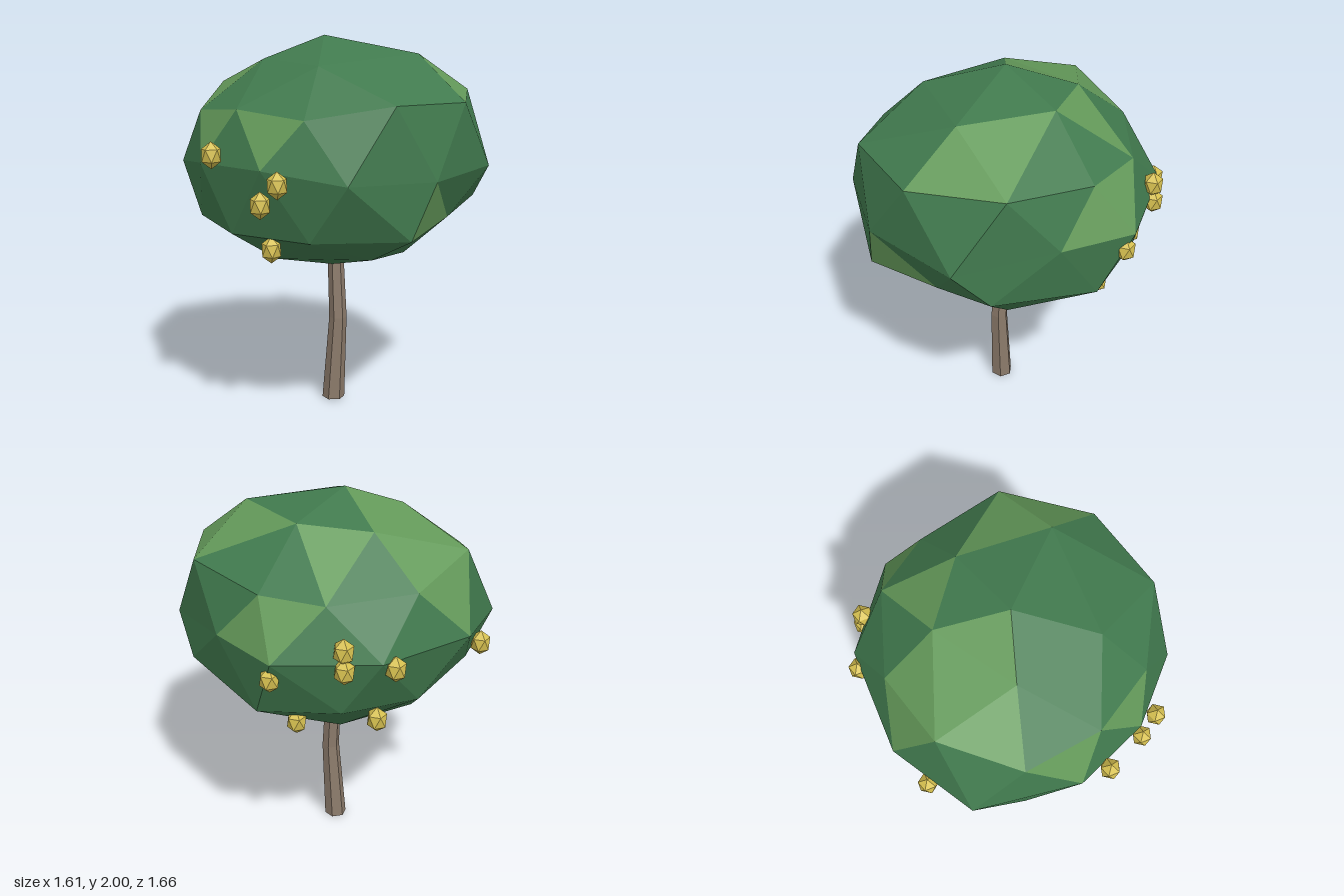
import * as THREE from 'three';

const mat = (name, color, flat = true) => {
  const m = new THREE.MeshStandardMaterial({ color, flatShading: flat });
  m.name = name;
  return m;
};

// Canopy rings from top to bottom, each running from +x towards +z
const RINGS = {
  P: [[-0.03, 2.0, 0.01]],
  A: [[0.47, 1.91, -0.07], [0.14, 1.86, 0.4], [-0.285, 1.88, 0.2], [-0.26, 1.88, -0.27], [0.095, 1.92, -0.37]],
  B: [[0.76, 1.68, 0.015], [0.58, 1.69, 0.456], [0.19, 1.62, 0.64], [-0.2, 1.655, 0.61], [-0.547, 1.62, 0.41],
    [-0.67, 1.74, 0], [-0.515, 1.65, -0.395], [-0.145, 1.65, -0.667], [0.19, 1.66, -0.655], [0.603, 1.71, -0.452]],
  C: [[0.726, 1.32, 0.29], [0.435, 1.33, 0.67], [0.01, 1.385, 0.745], [-0.395, 1.385, 0.645], [-0.778, 1.32, 0.255],
    [-0.743, 1.38, -0.228], [-0.423, 1.4, -0.68], [0.077, 1.395, -0.83], [0.423, 1.41, -0.632], [0.796, 1.33, -0.272]],
  D: [[0.65, 1.08, -0.06], [0.637, 1.035, 0.387], [0.22, 1.035, 0.645], [-0.22, 1.04, 0.64], [-0.548, 1.065, 0.42],
    [-0.69, 1.15, 0], [-0.53, 1.08, -0.39], [-0.22, 1.1, -0.67], [0.2, 1.065, -0.71], [0.667, 1.14, -0.407]],
  E: [[0.36, 0.88, 0.24], [-0.13, 0.86, 0.36], [-0.41, 0.81, 0], [-0.13, 0.86, -0.39], [0.325, 0.81, -0.26]],
  Q: [[0.04, 0.78, 0.05]],
};

// Facets painted in the lighter green
const LIGHT = new Set(['A2 A3 P0', 'A2 A3 B5', 'A3 B5 B6', 'A3 A4 B7', 'A0 A4 B9', 'A0 B0 B9', 'A2 B4 B5',
  'B5 B6 C5', 'B3 B4 C3', 'B2 B3 C2', 'B7 B8 C7', 'B8 C7 C8', 'C0 D0 D1', 'D0 D9 E4']);

function canopyFaces() {
  const faces = [];
  const add = (...f) => faces.push(f);
  for (let k = 0; k < 5; k++) {
    const n = (k + 1) % 5, e = 2 * k, o = e + 1, e2 = (e + 2) % 10, o2 = (e + 3) % 10;
    const before = (e + 9) % 10;
    // top cap
    add('P0', 'A' + k, 'A' + n);
    add('A' + k, 'B' + before, 'B' + e);
    add('A' + k, 'B' + e, 'B' + o);
    add('A' + k, 'B' + o, 'A' + n);
    // bottom cap
    add('Q0', 'E' + k, 'E' + n);
    add('E' + k, 'D' + e, 'D' + o);
    add('E' + k, 'D' + o, 'D' + e2);
    add('E' + k, 'D' + e2, 'E' + n);
  }
  // two bands around the middle
  for (let j = 0; j < 10; j++) {
    const n = (j + 1) % 10, p = (j + 9) % 10;
    add('B' + j, 'B' + n, 'C' + j);
    add('B' + j, 'C' + p, 'C' + j);
    add('D' + j, 'C' + p, 'C' + j);
    add('D' + j, 'D' + n, 'C' + j);
  }
  return faces;
}

function createCanopy(darkMat, lightMat) {
  const center = new THREE.Vector3(0, 1.39, 0);
  const point = (id) => new THREE.Vector3(...RINGS[id[0]][Number(id[1])]);
  const dark = [], light = [];
  for (const f of canopyFaces()) {
    let [a, b, c] = f.map(point);
    const normal = b.clone().sub(a).cross(c.clone().sub(a));
    // keep every facet turned outwards
    if (normal.dot(a.clone().add(b).add(c).divideScalar(3).sub(center)) < 0) [b, c] = [c, b];
    const list = LIGHT.has([...f].sort().join(' ')) ? light : dark;
    for (const v of [a, b, c]) list.push(v.x, v.y, v.z);
  }
  const geo = new THREE.BufferGeometry();
  geo.setAttribute('position', new THREE.Float32BufferAttribute([...dark, ...light], 3));
  geo.addGroup(0, dark.length / 3, 0);
  geo.addGroup(dark.length / 3, light.length / 3, 1);
  geo.computeVertexNormals();
  const mesh = new THREE.Mesh(geo, [darkMat, lightMat]);
  mesh.name = 'canopy';
  return mesh;
}

// Slightly bent six-sided trunk: height, centre x, centre z, radius
function createTrunk(material) {
  const sections = [[0, 0.022, 0.003, 0.061], [0.47, 0.048, 0, 0.048], [0.95, 0.02, -0.015, 0.042]];
  const geo = new THREE.CylinderGeometry(1, 1, 2, 6, 2);
  const pos = geo.attributes.position;
  for (let i = 0; i < pos.count; i++) {
    const [y, cx, cz, r] = sections[Math.round(pos.getY(i) + 1)];
    pos.setXYZ(i, cx + pos.getX(i) * r, y, cz + pos.getZ(i) * r);
  }
  geo.computeVertexNormals();
  const mesh = new THREE.Mesh(geo, material);
  mesh.name = 'trunk';
  return mesh;
}

// Small faceted fruits, a little taller than wide
function createFruits(material) {
  const group = new THREE.Group();
  group.name = 'fruits';
  const geo = new THREE.IcosahedronGeometry(1, 0);
  geo.rotateX(-Math.atan((1 + Math.sqrt(5)) / 2));
  geo.scale(0.054, 0.068, 0.054);
  const spots = [
    [-0.275, 1.44, 0.725], [0.12, 1.33, 0.775], [0.02, 1.225, 0.765], [0, 0.98, 0.63],
    [-0.765, 1.25, -0.02], [-0.25, 1.47, -0.735], [-0.255, 1.37, -0.74], [-0.47, 1.36, -0.625],
    [0.095, 1.3, -0.79], [0.03, 0.98, -0.61], [-0.37, 1.04, -0.57],
  ];
  for (const [x, y, z] of spots) {
    const fruit = new THREE.Mesh(geo, material);
    fruit.name = 'fruit';
    fruit.position.set(x, y, z);
    group.add(fruit);
  }
  return group;
}

export function createModel() {
  const tree = new THREE.Group();
  tree.name = 'fruitTree';
  tree.add(
    createTrunk(mat('bark', 0x8c7b6b)),
    createCanopy(mat('leafGreen', 0x417a4e), mat('lightLeafGreen', 0x649a5a)),
    createFruits(mat('fruitYellow', 0xd6c050)),
  );
  return tree;
}
